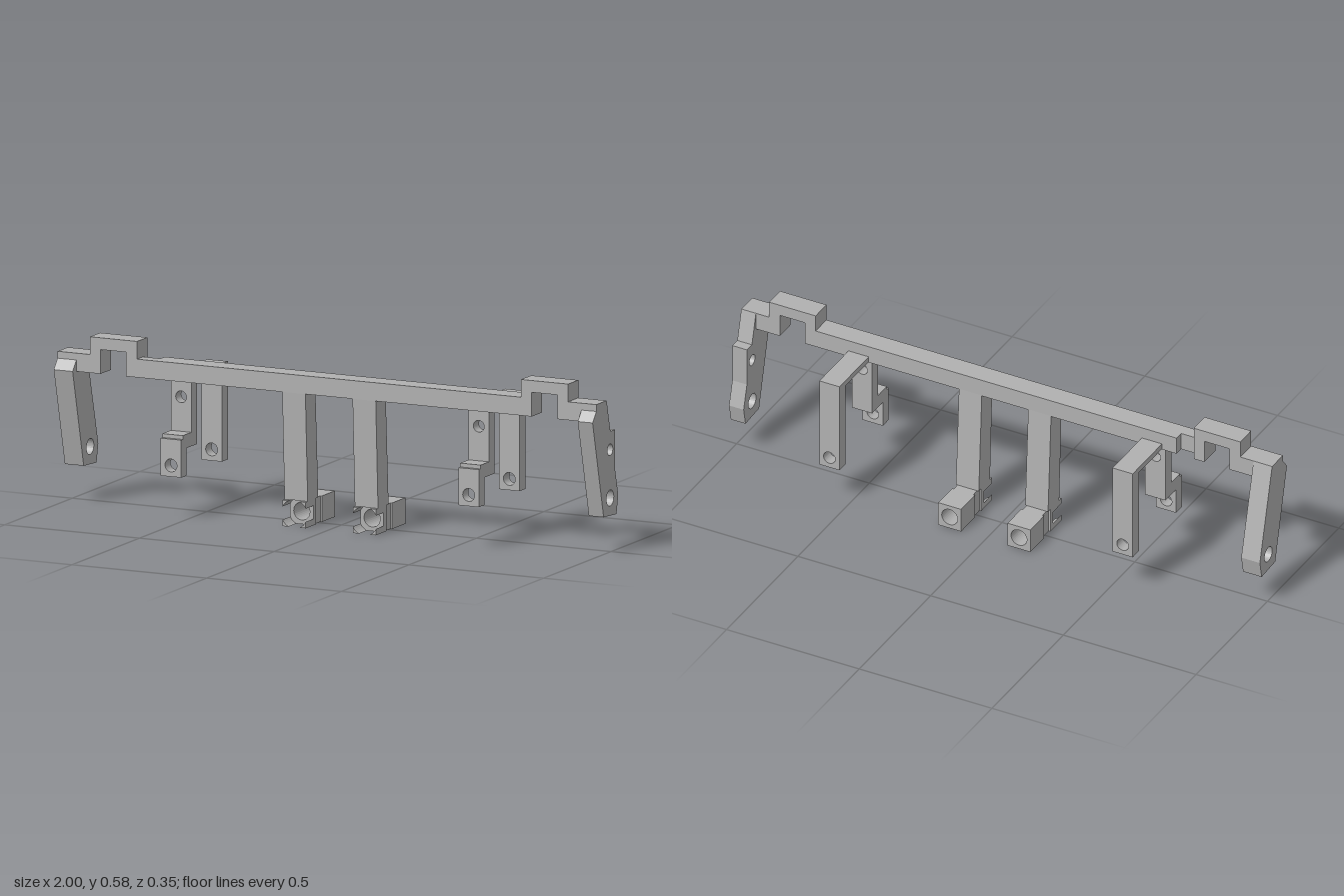
import * as THREE from 'three';

const grey = new THREE.MeshStandardMaterial({ color: 0xb0b0b0 });
grey.name = 'plain grey';

const outline = (pts, holes = []) => {
  const s = new THREE.Shape(pts.map(([a, b]) => new THREE.Vector2(a, b)));
  for (const [x, y, r] of holes) s.holes.push(new THREE.Path().absarc(x, y, r, 0, Math.PI * 2, true));
  return s;
};
const extrude = (shape, depth) =>
  new THREE.ExtrudeGeometry(shape, { depth, bevelEnabled: false, curveSegments: 16 });

function add(parent, name, geometry) {
  const m = new THREE.Mesh(geometry, grey);
  m.name = name;
  parent.add(m);
}
// Front outline (x, y), extruded from z0 to z1
function frontPart(parent, name, pts, z0, z1, holes) {
  add(parent, name, extrude(outline(pts, holes), z1 - z0).translate(0, 0, z0));
}
// Side outline (z, y), extruded from x0 to x1
function sidePart(parent, name, pts, x0, x1, holes = []) {
  const s = outline(pts.map(([z, y]) => [-z, y]), holes.map(([z, y, r]) => [-z, y, r]));
  add(parent, name, extrude(s, x1 - x0).rotateY(Math.PI / 2).translate(x0, 0, 0));
}
const rect = (a0, b0, a1, b1) => [[a0, b0], [a1, b0], [a1, b1], [a0, b1]];

// Long crossbar with a raised hump near each end and a notch in its rear
function crossbar(parent) {
  const low = 0.455, top = 0.517;
  const leftStart = [[-1, low], [-0.84, low], [-0.84, 0.537], [-0.745, 0.537], [-0.745, low]];
  const leftEnd = [[-0.705, top], [-0.705, 0.577], [-0.88, 0.577], [-0.88, top], [-1, top]];
  const right = [[0.76, low], [0.76, 0.537], [0.855, 0.537], [0.855, low], [1, low], [1, top],
    [0.895, top], [0.895, 0.577], [0.72, 0.577], [0.72, top]];
  frontPart(parent, 'crossbarFront', [...leftStart, ...right, ...leftEnd], 0.065, 0.109);
  frontPart(parent, 'crossbarRearEnd', [...leftStart, [-0.705, low], ...leftEnd], 0.033, 0.065);
  frontPart(parent, 'crossbarRear', [[-0.64, low], ...right, [-0.64, top]], 0.033, 0.065);
}

// Slanted end legs; the one at +x has a thickened back and a second hole
function endLegs(parent) {
  const start = [[0.108, 0.517], [0.108, 0.495], [0.137, 0.46], [0.055, 0.126], [-0.04, 0.12], [-0.053, 0.183]];
  const hole = [0.007, 0.183, 0.027];
  sidePart(parent, 'rightLeg', [...start, [0.033, 0.517]], -1, -0.93, [hole]);
  sidePart(parent, 'leftLeg', [...start, [-0.03, 0.27], [-0.03, 0.408], [0.005, 0.408], [0.033, 0.517]],
    0.945, 1, [hole, [0.007, 0.346, 0.02]]);
}

// Stepped hanger in front and hooked hanger behind
function bracket(parent, x) {
  const g = new THREE.Group();
  g.name = 'bracket';
  const w = 0.038;
  frontPart(g, 'upperPlate', rect(-w, 0.238, w, 0.457), 0.057, 0.098, [[0, 0.402, 0.02]]);
  sidePart(g, 'ledge', [[0.098, 0.238], [0.173, 0.238], [0.173, 0.272], [0.16, 0.272], [0.16, 0.285], [0.098, 0.285]], -w, w);
  frontPart(g, 'lowerPlate', rect(-w, 0.145, w, 0.238), 0.132, 0.173, [[0, 0.183, 0.022]]);
  sidePart(g, 'rearArm', rect(-0.128, 0.457, 0.035, 0.477), -w, w);
  frontPart(g, 'rearPost', rect(-w, 0.145, w, 0.477), -0.172, -0.128, [[0, 0.183, 0.022]]);
  g.position.x = x;
  parent.add(g);
}

// Tapered post ending in a bored block with four corner prongs
function centrePost(parent, x) {
  const g = new THREE.Group();
  g.name = 'centrePost';
  const w = 0.043, h = 0.088, c = 0.044, r = 0.0485;
  sidePart(g, 'post', [[0.107, 0.457], [0.09, h], [0.012, h], [0.033, 0.457]], -w, w);
  const bore = [[0, c, 0.03]];
  frontPart(g, 'rearBlock', rect(-w, 0, w, h), -0.112, -0.015, bore);
  frontPart(g, 'neck', rect(-w + 0.006, 0, w - 0.006, h), -0.015, 0.028, bore);
  frontPart(g, 'frontBlock', rect(-w, 0, w, h), 0.028, 0.048, bore);
  const a0 = Math.acos(w / r), a1 = Math.asin(c / r);
  for (const sx of [-1, 1]) for (const sy of [-1, 1]) {
    const pts = [[sx * w, c + sy * c]];
    for (let i = 0; i <= 4; i++) {
      const a = a1 + (a0 - a1) * i / 4;
      pts.push([sx * r * Math.cos(a), c + sy * r * Math.sin(a)]);
    }
    frontPart(g, 'prong', pts, 0.048, 0.105);
  }
  g.position.x = x;
  parent.add(g);
}

export function createModel() {
  const model = new THREE.Group();
  model.name = 'mountingFrame';
  crossbar(model);
  endLegs(model);
  for (const x of [-0.547, 0.558]) bracket(model, x);
  for (const x of [-0.124, 0.137]) centrePost(model, x);
  return model;
}
